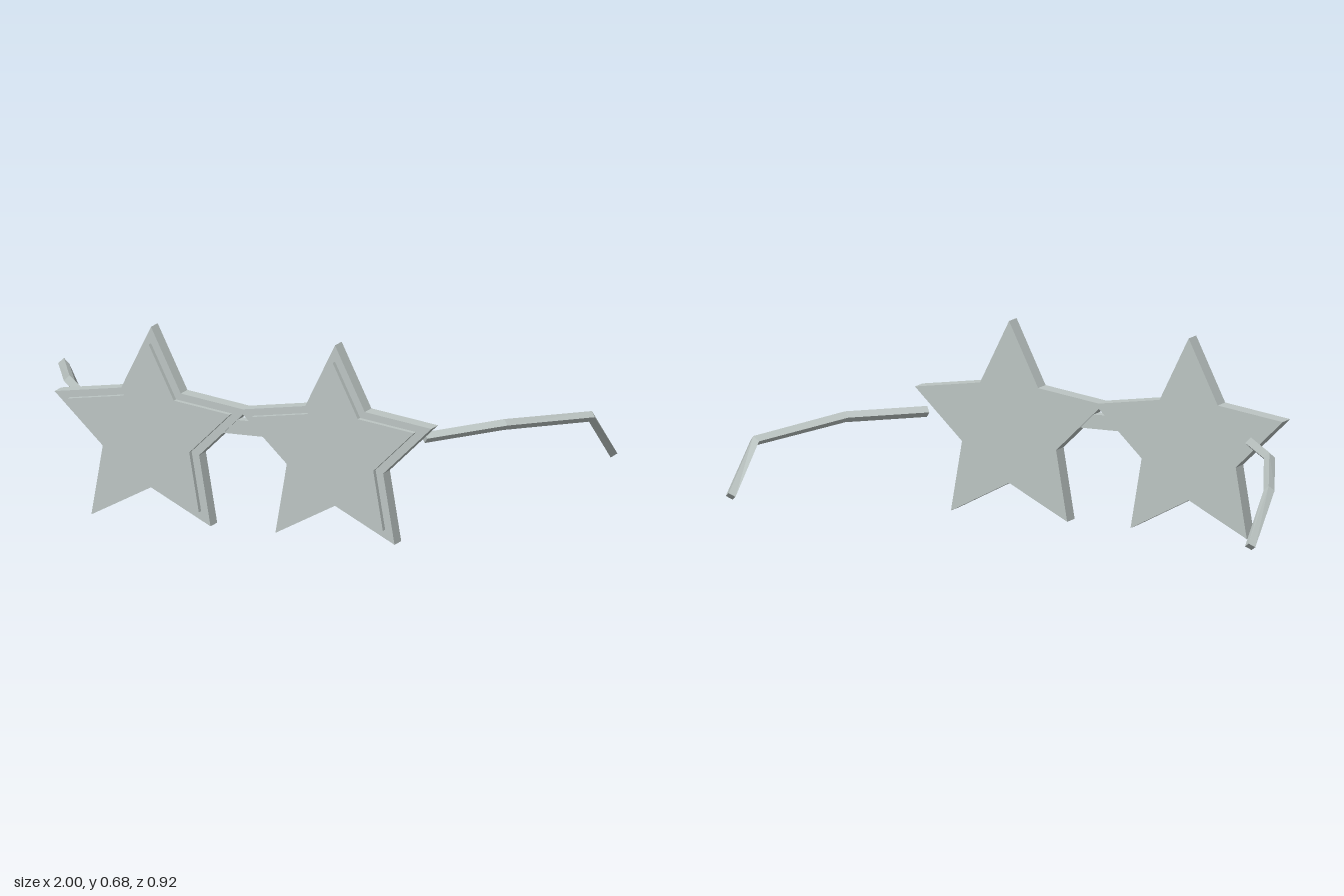
import * as THREE from 'three';

const frameGrey = new THREE.MeshStandardMaterial({ color: 0xbcc5c3 });
frameGrey.name = 'pale grey';

// Five-pointed star plate, from z0 to z1
function starPlate(name, cx, cy, radius, z0, z1) {
  const pts = [];
  for (let i = 0; i < 10; i++) {
    const r = i % 2 ? radius * 0.5 : radius;
    const a = Math.PI / 2 + (i * Math.PI) / 5;
    pts.push(new THREE.Vector2(cx + r * Math.cos(a), cy + r * Math.sin(a)));
  }
  const geo = new THREE.ExtrudeGeometry(new THREE.Shape(pts), { depth: z1 - z0, bevelEnabled: false });
  geo.translate(0, 0, z0);
  const mesh = new THREE.Mesh(geo, frameGrey);
  mesh.name = name;
  return mesh;
}

// Bent rod with a diamond section, capped at both ends
function diamondRod(name, path, r) {
  const up = new THREE.Vector3(0, 1, 0);
  const rings = path.map((p, i) => {
    const dirs = [];
    if (i > 0) dirs.push(p.clone().sub(path[i - 1]).normalize());
    if (i < path.length - 1) dirs.push(path[i + 1].clone().sub(p).normalize());
    const t = dirs.reduce((s, d) => s.add(d), new THREE.Vector3()).normalize();
    const side = t.clone().cross(up).normalize();
    const top = side.clone().cross(t);
    return [0, 1, 2, 3].map((k) => p.clone()
      .addScaledVector(side, r * Math.cos((k * Math.PI) / 2))
      .addScaledVector(top, r * Math.sin((k * Math.PI) / 2)));
  });
  const verts = [];
  const quad = (a, b, c, d) => [a, b, c, a, c, d].forEach((v) => verts.push(v.x, v.y, v.z));
  for (let i = 0; i < rings.length - 1; i++) {
    for (let k = 0; k < 4; k++) {
      const n = (k + 1) % 4;
      quad(rings[i][k], rings[i][n], rings[i + 1][n], rings[i + 1][k]);
    }
  }
  const [a, b, c, d] = rings[0];
  quad(d, c, b, a);
  quad(...rings[rings.length - 1]);
  const geo = new THREE.BufferGeometry();
  geo.setAttribute('position', new THREE.Float32BufferAttribute(verts, 3));
  // Face outwards: the section turns clockwise seen along the path
  const index = [];
  const e1 = rings[0][1].clone().sub(rings[0][0]);
  const e2 = rings[1][0].clone().sub(rings[0][0]);
  const out = rings[0][0].clone().add(rings[0][1]).multiplyScalar(0.5).sub(path[0]);
  const flip = e1.cross(e2).dot(out) < 0;
  for (let i = 0; i < verts.length / 3; i += 3) index.push(i, flip ? i + 2 : i + 1, flip ? i + 1 : i + 2);
  geo.setIndex(index);
  geo.computeVertexNormals();
  const mesh = new THREE.Mesh(geo, frameGrey);
  mesh.name = name;
  return mesh;
}

export function createModel() {
  const group = new THREE.Group();
  group.name = 'starGlasses';

  // Star frames with raised lenses
  for (const [side, cx] of [['left', 0.336], ['right', -0.343]]) {
    group.add(starPlate(side + 'Frame', cx, 0.303, 0.374, 0.385, 0.443));
    group.add(starPlate(side + 'Lens', cx, 0.305, 0.315, 0.443, 0.463));
  }

  // Nose bridge
  const bridge = new THREE.Mesh(new THREE.BoxGeometry(0.17, 0.05, 0.044), frameGrey);
  bridge.name = 'bridge';
  bridge.position.set(-0.003, 0.355, 0.414);
  group.add(bridge);

  // Temple arms with bent ear tips
  for (const s of [1, -1]) {
    const path = [
      [0.612, 0.352, 0.315], [0.802, 0.361, 0.07],
      [0.972, 0.327, -0.28], [0.982, 0.163, -0.447],
    ].map(([x, y, z]) => new THREE.Vector3(s * x, y, z));
    group.add(diamondRod(s > 0 ? 'leftArm' : 'rightArm', path, 0.019));
  }
  return group;
}
